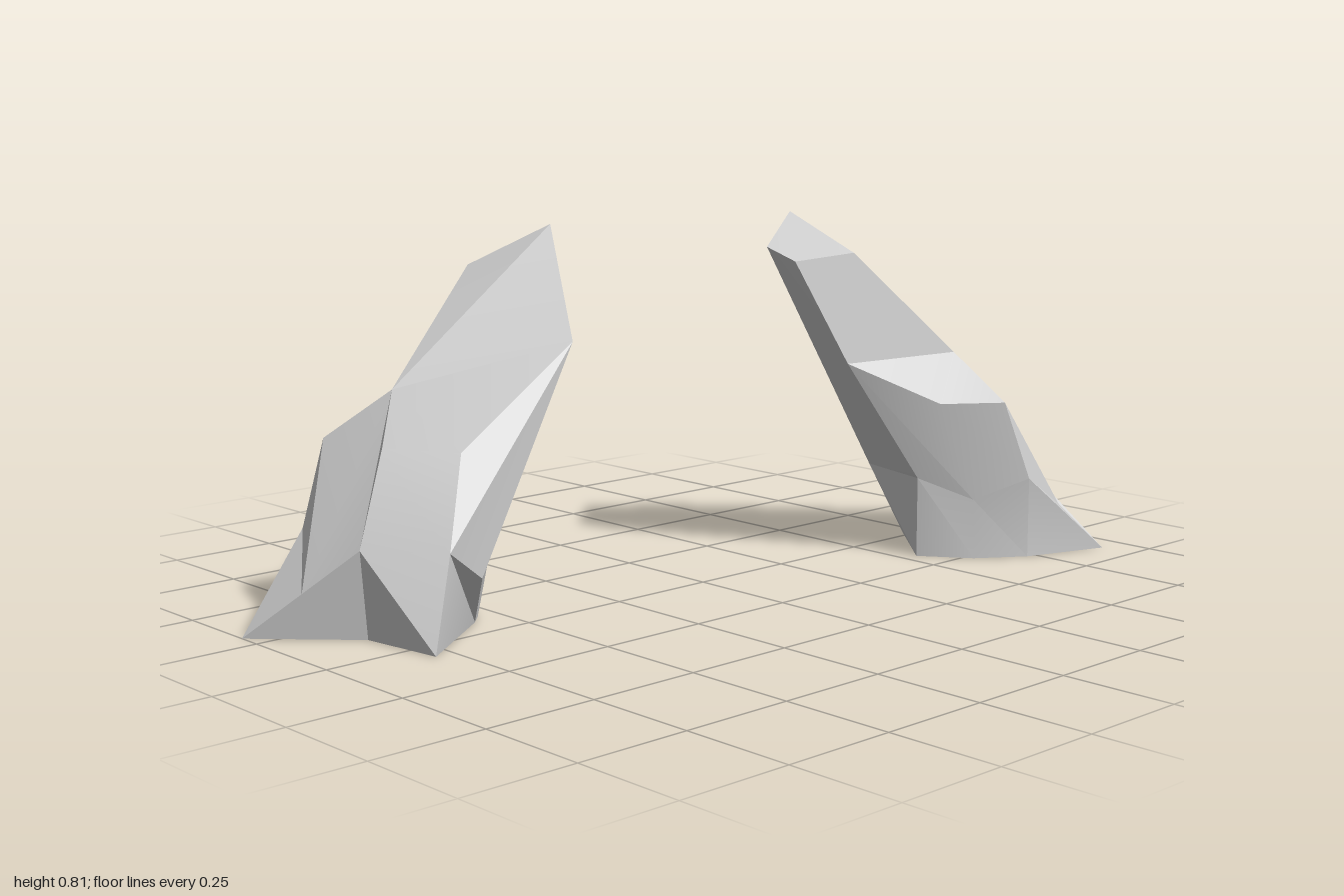
import * as THREE from 'three';
import { toCreasedNormals } from 'three/addons/utils/BufferGeometryUtils.js';

// Corners of one leaning rock shard
const corners = [
  // tip
  [-0.22, 0.805, 0.25], [-0.34, 0.717, 0.385], [-0.415, 0.705, 0.24], [-0.37, 0.735, 0.18],
  // shoulders
  [-0.07, 0.567, 0.315], [-0.28, 0.475, 0.635], [-0.387, 0.465, 0.367],
  [-0.39, 0.37, 0.736], [-0.399, 0.37, 0.583], [-0.18, 0.375, 0.733], [-0.05, 0.37, 0.63],
  // lower waist
  [-0.12, 0.187, 0.835], [0.025, 0.187, 0.718], [-0.38, 0.187, 0.8], [-0.216, 0.09, 0.913],
  [-0.355, 0.187, 0.54], [-0.373, 0.137, 0.67], [-0.165, 0.187, 0.455], [0, 0.115, 0.62],
  // foot on the ground
  [-0.305, 0, 1], [-0.12, 0, 0.82], [0.073, 0, 0.793], [-0.08, 0, 0.58],
  [-0.11, 0, 0.55], [-0.355, 0, 0.54], [-0.39, 0, 0.67], [-0.38, 0, 0.8],
];

// Facets as corner loops, anticlockwise from outside
const facets = [
  // tip
  '0 3 2 1', '0 4 3',
  // front
  '5 9 10 4 0 1', '1 2 6 5', '5 7 14 11 9', '9 11 12 10', '7 13 14', '5 6 8 7',
  // front of the foot
  '11 20 21 12', '13 26 19 14', '11 14 19 20',
  // outer side
  '6 15 16 8', '8 16 13 7', '15 24 25 16', '16 25 26 13',
  // underside of the lean
  '6 2 3 17 15', '3 4 17', '4 18 17', '4 12 18', '4 10 12',
  '12 21 22 18', '17 18 22 23', '17 23 24 15',
  // base
  '20 19 26 25 24 23 22 21',
];

function rockGeometry() {
  const positions = [];
  for (const facet of facets) {
    const loop = facet.split(' ').map(Number);
    for (let i = 1; i < loop.length - 1; i++) {
      for (const k of [loop[0], loop[i], loop[i + 1]]) positions.push(...corners[k]);
    }
  }
  const geometry = new THREE.BufferGeometry();
  geometry.setAttribute('position', new THREE.Float32BufferAttribute(positions, 3));
  return toCreasedNormals(geometry, 0.4);
}

export function createModel() {
  const group = new THREE.Group();
  group.name = 'leaningRocks';
  const geometry = rockGeometry();
  const material = new THREE.MeshStandardMaterial({ color: 0xcccccc });

  const frontRock = new THREE.Mesh(geometry, material);
  frontRock.name = 'frontRock';

  // The same shard turned round to lean the other way
  const backRock = new THREE.Mesh(geometry, material);
  backRock.name = 'backRock';
  backRock.rotation.y = THREE.MathUtils.degToRad(141);
  backRock.position.set(-0.452, 0, -0.343);

  group.add(frontRock, backRock);
  return group;
}
